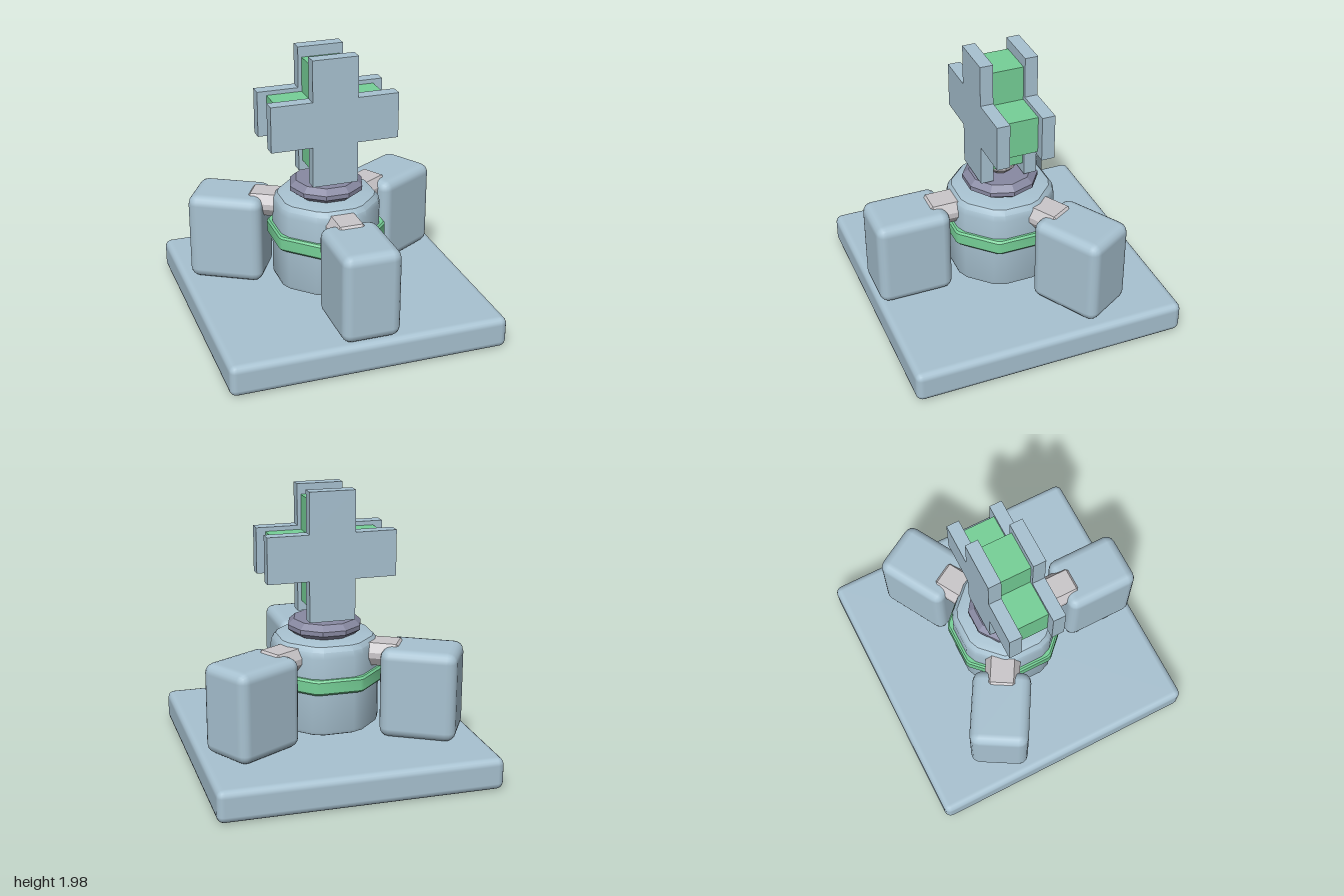
import * as THREE from 'three';
import { toCreasedNormals } from 'three/addons/utils/BufferGeometryUtils.js';
import { RoundedBoxGeometry } from 'three/addons/geometries/RoundedBoxGeometry.js';

function material(name, color) {
  const m = new THREE.MeshStandardMaterial({ color });
  m.name = name;
  return m;
}

const points = (list) => list.map(([r, y]) => new THREE.Vector2(r, y));

// Octagon with narrow corner chamfers; profile radii are measured to the flats.
function octagonLathe(profile, halfFaceDegrees, crease) {
  const step = Math.PI / 4;
  const half = THREE.MathUtils.degToRad(halfFaceDegrees);
  const geo = new THREE.LatheGeometry(points(profile), 16, step / 4);
  const pos = geo.attributes.position;
  for (let i = 0; i < pos.count; i++) {
    const r = Math.hypot(pos.getX(i), pos.getZ(i));
    const phi = Math.atan2(pos.getX(i), pos.getZ(i));
    const face = Math.round(phi / step) * step;
    const angle = face + Math.sign(phi - face) * half;
    const radius = r / Math.cos(half);
    pos.setXYZ(i, Math.sin(angle) * radius, pos.getY(i), Math.cos(angle) * radius);
  }
  return toCreasedNormals(geo, crease);
}

// Ten-sided turned part with a flat facing the front.
const decagonLathe = (profile, crease) =>
  toCreasedNormals(new THREE.LatheGeometry(points(profile), 10, Math.PI / 10), crease);

// Upright cross, extruded along z and centred on its depth.
function crossGeometry(arm, reachX, barY, reachY, depth) {
  const shape = new THREE.Shape(points([
    [-arm, -reachY], [arm, -reachY], [arm, -barY], [reachX, -barY],
    [reachX, barY], [arm, barY], [arm, reachY], [-arm, reachY],
    [-arm, barY], [-reachX, barY], [-reachX, -barY], [-arm, -barY],
  ]));
  return new THREE.ExtrudeGeometry(shape, { depth, bevelEnabled: false })
    .translate(0, 0, -depth / 2);
}

// Chamfered bar running along z.
function connectorGeometry() {
  const b = 0.025;
  const w = 0.125 - b, h = 0.0825 - b, cx = 0.03, cy = 0.045;
  const shape = new THREE.Shape(points([
    [-w + cx, -h], [w - cx, -h], [w, -h + cy], [w, h - cy],
    [w - cx, h], [-w + cx, h], [-w, h - cy], [-w, -h + cy],
  ]));
  return new THREE.ExtrudeGeometry(shape, {
    depth: 0.23, bevelSize: b, bevelThickness: b, bevelSegments: 1,
  });
}

export function createModel() {
  const model = new THREE.Group();
  model.name = 'crossBeacon';

  const blue = material('pale blue', 0xa8c2d1);
  const green = material('green', 0x76d097);
  const grey = material('light grey', 0xcac7ca);
  const purple = material('dull purple', 0x8889a2);

  function add(parent, name, geometry, mat, x = 0, y = 0, z = 0) {
    const mesh = new THREE.Mesh(geometry, mat);
    mesh.name = name;
    mesh.position.set(x, y, z);
    parent.add(mesh);
    return mesh;
  }

  // Square base slab
  add(model, 'base', new RoundedBoxGeometry(2, 0.23, 2, 2, 0.05), blue, 0, 0.115, 0);

  // Octagonal body, softly rounded at the top
  add(model, 'body', octagonLathe([
    [0, 0.27], [0.345, 0.27], [0.364, 0.28], [0.372, 0.305], [0.372, 0.84],
    [0.362, 0.885], [0.335, 0.918], [0.29, 0.93], [0, 0.93],
  ], 16.5, 0.55), blue);

  // Green band around the body
  add(model, 'bodyBand', octagonLathe([
    [0.34, 0.585], [0.388, 0.585], [0.4, 0.6], [0.4, 0.68], [0.388, 0.695], [0.34, 0.695],
  ], 20.5, 0.5), green);

  // Three pods with connectors, spaced evenly around the body
  const podGeo = new RoundedBoxGeometry(0.42, 0.65, 0.545, 2, 0.07);
  const connectorGeo = connectorGeometry();
  ['front', 'backLeft', 'backRight'].forEach((side, i) => {
    const arm = new THREE.Group();
    arm.name = side + 'Arm';
    arm.rotation.y = (i * Math.PI * 2) / 3;
    add(arm, side + 'Pod', podGeo, blue, 0, 0.555, 0.7125);
    add(arm, side + 'Connector', connectorGeo, grey, 0, 0.8125, 0.31);
    model.add(arm);
  });

  // Collar and the neck that carries the cross
  add(model, 'collar', decagonLathe([
    [0, 0.922], [0.21, 0.922], [0.27, 0.968], [0.27, 1.0], [0.225, 1.04], [0, 1.04],
  ], 0.2), purple);
  add(model, 'neck', decagonLathe([
    [0, 1.03], [0.06, 1.03], [0.115, 1.085], [0.118, 1.105], [0.085, 1.14], [0, 1.14],
  ], 0.2), grey);

  // Cross: green core between two larger plates
  const crossY = 1.523;
  add(model, 'crossCore', crossGeometry(0.138, 0.395, 0.135, 0.385, 0.23), green, 0, crossY, 0);
  const plateGeo = crossGeometry(0.165, 0.463, 0.165, 0.461, 0.093);
  for (const s of [1, -1]) {
    add(model, s > 0 ? 'frontPlate' : 'backPlate', plateGeo, blue, 0, crossY, s * 0.1615);
  }

  return model;
}
